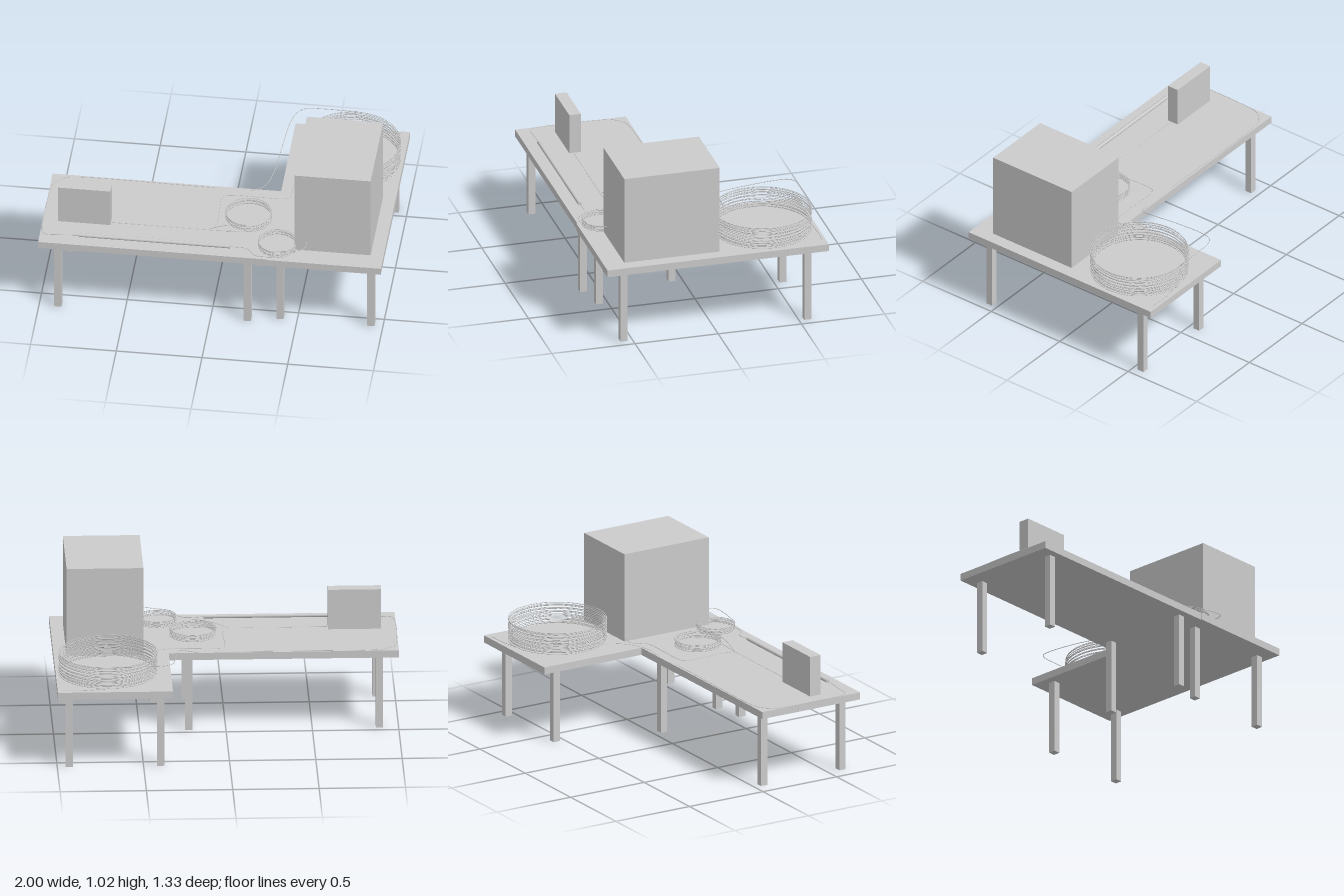
import * as THREE from 'three';

const material = new THREE.MeshStandardMaterial({ color: 0xcccccc });
const TOP = 0.488, UNDER = 0.445, WIRE = 0.002;

export function createModel() {
  const model = new THREE.Group();

  // box given by its limits along each axis
  const box = (name, x0, x1, y0, y1, z0, z1, parent = model) => {
    const mesh = new THREE.Mesh(new THREE.BoxGeometry(x1 - x0, y1 - y0, z1 - z0), material);
    mesh.position.set((x0 + x1) / 2, (y0 + y1) / 2, (z0 + z1) / 2);
    mesh.name = name;
    parent.add(mesh);
  };

  // table: a slab on four square legs
  const table = (name, x0, x1, z0, z1, legXs, legZs) => {
    const group = new THREE.Group();
    group.name = name;
    box('tableTop', x0, x1, UNDER, TOP, z0, z1, group);
    for (const x of legXs)
      for (const z of legZs)
        box('tableLeg', x - 0.021, x + 0.021, 0, UNDER, z - 0.021, z + 0.021, group);
    model.add(group);
  };

  // thin fibre through a list of points
  const fibre = (name, points, segments = 80) => {
    const curve = new THREE.CatmullRomCurve3(points.map(p => new THREE.Vector3(...p)), false, 'centripetal');
    const mesh = new THREE.Mesh(new THREE.TubeGeometry(curve, segments, WIRE, 5), material);
    mesh.name = name;
    model.add(mesh);
  };

  // loosely wound coil: a helix with a small wobble in radius and height
  const coil = (name, x, z, radius, y0, y1, turns, wobble) => {
    const steps = turns * 40, points = [];
    for (let i = 0; i <= steps; i++) {
      const t = i / steps, a = t * turns * Math.PI * 2;
      const r = radius + wobble * Math.sin(a * 0.37 + 1);
      const y = y0 + (y1 - y0) * t + wobble * 0.6 * Math.sin(a * 1.31) * Math.sin(Math.PI * t);
      points.push([x + r * Math.sin(a), y, z + r * Math.cos(a)]);
    }
    fibre(name, points, steps);
  };

  // L-shaped pair of tables
  table('longTable', -1, 0.333, -0.005, 0.66, [-0.89, 0.215], [0.063, 0.595]);
  table('sideTable', 0.333, 1, -0.665, 0.665, [0.4, 0.93], [-0.552, 0.552]);

  // equipment standing on the tables
  box('largeCabinet', 0.48, 0.925, TOP, 1.022, -0.03, 0.543);
  box('smallUnit', -0.912, -0.605, TOP, 0.73, 0.375, 0.445);

  // straight tube with the fibre passing through it
  const rod = new THREE.Mesh(new THREE.CylinderGeometry(0.011, 0.011, 0.88, 16), material);
  rod.rotation.z = Math.PI / 2;
  rod.position.set(-0.33, 0.503, 0.582);
  rod.name = 'straightTube';
  model.add(rod);

  // coils of fibre
  coil('largeCoil', 0.698, -0.35, 0.282, 0.498, 0.63, 20, 0.004);
  coil('mediumCoil', 0.182, 0.286, 0.132, 0.498, 0.543, 6, 0.002);
  coil('smallCoil', 0.38, 0.53, 0.109, 0.494, 0.533, 6, 0.002);

  // fibre from the large coil, over the gap and around the long table to the tube
  const Y = TOP + 0.001;
  fibre('longFibre', [
    [0.7, 0.63, -0.634], [0.48, 0.631, -0.634], [0.41, 0.63, -0.63], [0.36, 0.625, -0.6], [0.325, 0.61, -0.52],
    [0.3, 0.58, -0.3], [0.28, 0.545, -0.12], [0.24, 0.51, -0.02], [0.17, Y, 0.006],
    [-0.14, Y, 0.01], [-0.86, Y, 0.01], [-0.92, Y, 0.025], [-0.98, Y, 0.085],
    [-0.992, Y, 0.14], [-0.992, Y, 0.54], [-0.975, Y, 0.575], [-0.87, 0.495, 0.582], [-0.76, 0.503, 0.582],
  ], 220);

  // loose end at the base of the large coil
  fibre('largeCoilEnd', [[0.7, 0.5, -0.634], [0.85, 0.493, -0.645], [0.95, 0.491, -0.64]], 20);

  // fibre from the tube to the small coil, and on to the cabinet
  fibre('tubeFibre', [
    [0.1, 0.503, 0.582], [0.2, 0.498, 0.58], [0.23, 0.494, 0.6], [0.26, 0.492, 0.632], [0.3, 0.492, 0.64], [0.38, 0.494, 0.639],
  ], 40);
  fibre('cabinetFibre', [
    [0.38, 0.533, 0.639], [0.46, 0.545, 0.64], [0.53, 0.553, 0.63], [0.553, 0.555, 0.6], [0.554, 0.555, 0.54],
  ], 40);

  // fibre from the small unit to the medium coil
  fibre('unitFibre', [[-0.6, Y, 0.42], [0, Y, 0.42], [0.1, 0.493, 0.42], [0.182, 0.498, 0.418]], 40);

  // fibre from the medium coil around to the back of the cabinet
  fibre('returnFibre', [
    [0.182, 0.543, 0.418], [0.06, 0.525, 0.414], [-0.03, Y, 0.405], [0, Y, 0.375], [0.003, Y, 0.11],
    [0.015, Y, 0.08], [0.05, Y, 0.07], [0.26, Y, 0.07], [0.36, Y, 0.066], [0.39, Y, 0.05],
    [0.398, 0.492, 0.01], [0.41, 0.51, -0.045], [0.45, 0.52, -0.045], [0.485, 0.52, -0.02],
  ], 100);

  return model;
}
